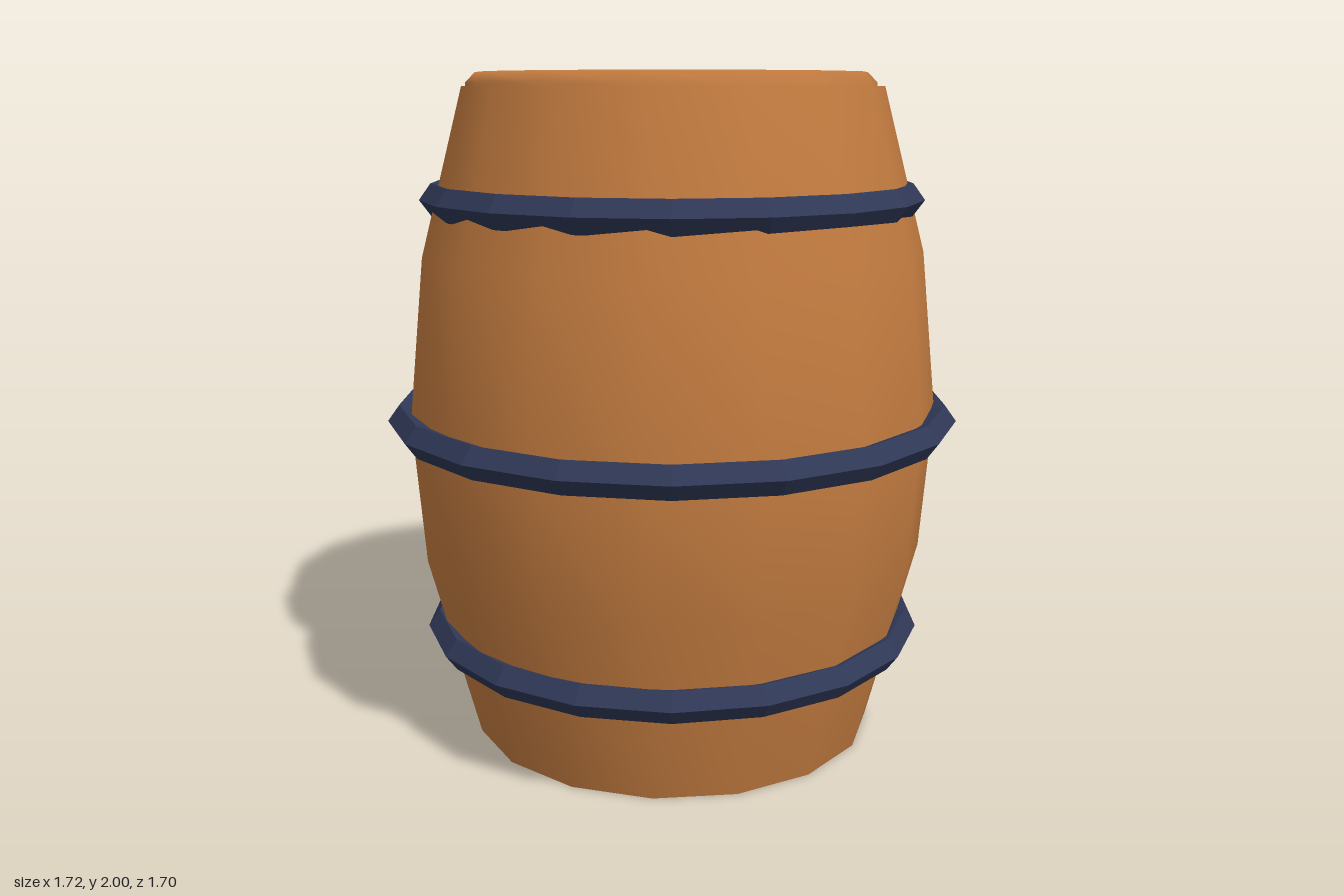
import * as THREE from 'three';

export function createModel() {
  const wood = new THREE.MeshStandardMaterial({ color: 0xc47c40 });
  wood.name = 'wood';
  const iron = new THREE.MeshStandardMaterial({ color: 0x2f3856, flatShading: true });
  iron.name = 'darkIron';

  const barrel = new THREE.Group();
  barrel.name = 'barrel';
  const add = (name, geometry, material, y = 0) => {
    const mesh = new THREE.Mesh(geometry, material);
    mesh.name = name;
    mesh.position.y = y;
    barrel.add(mesh);
    return mesh;
  };
  const lathe = (points, sides) =>
    new THREE.LatheGeometry(points.map(([r, y]) => new THREE.Vector2(r, y)), sides);

  // bulging body, 16 sides, smooth around
  add('body', lathe([[0.62, 0], [0.767, 0.57], [0.8, 1], [0.75, 1.48], [0.622, 1.96]], 16), wood);

  // flat ends of the body
  add('base', new THREE.CircleGeometry(0.62, 16).rotateX(Math.PI / 2), wood);
  add('rim', new THREE.CircleGeometry(0.622, 16).rotateX(-Math.PI / 2), wood, 1.96);

  // bevelled lid, 14 sides, with a corner on +x
  const lid = lathe([[0.607, 1.92], [0.607, 1.97], [0.578, 2], [0, 2]], 14);
  add('lid', lid.rotateY(Math.PI / 2), wood);

  // hoops with a five-sided section
  const hoops = [['lowerHoop', 0.715, 0.328], ['middleHoop', 0.812, 0.983], ['upperHoop', 0.696, 1.637]];
  for (const [name, radius, y] of hoops) {
    add(name, new THREE.TorusGeometry(radius, 0.05, 5, 18).rotateX(Math.PI / 2), iron, y);
  }
  return barrel;
}
